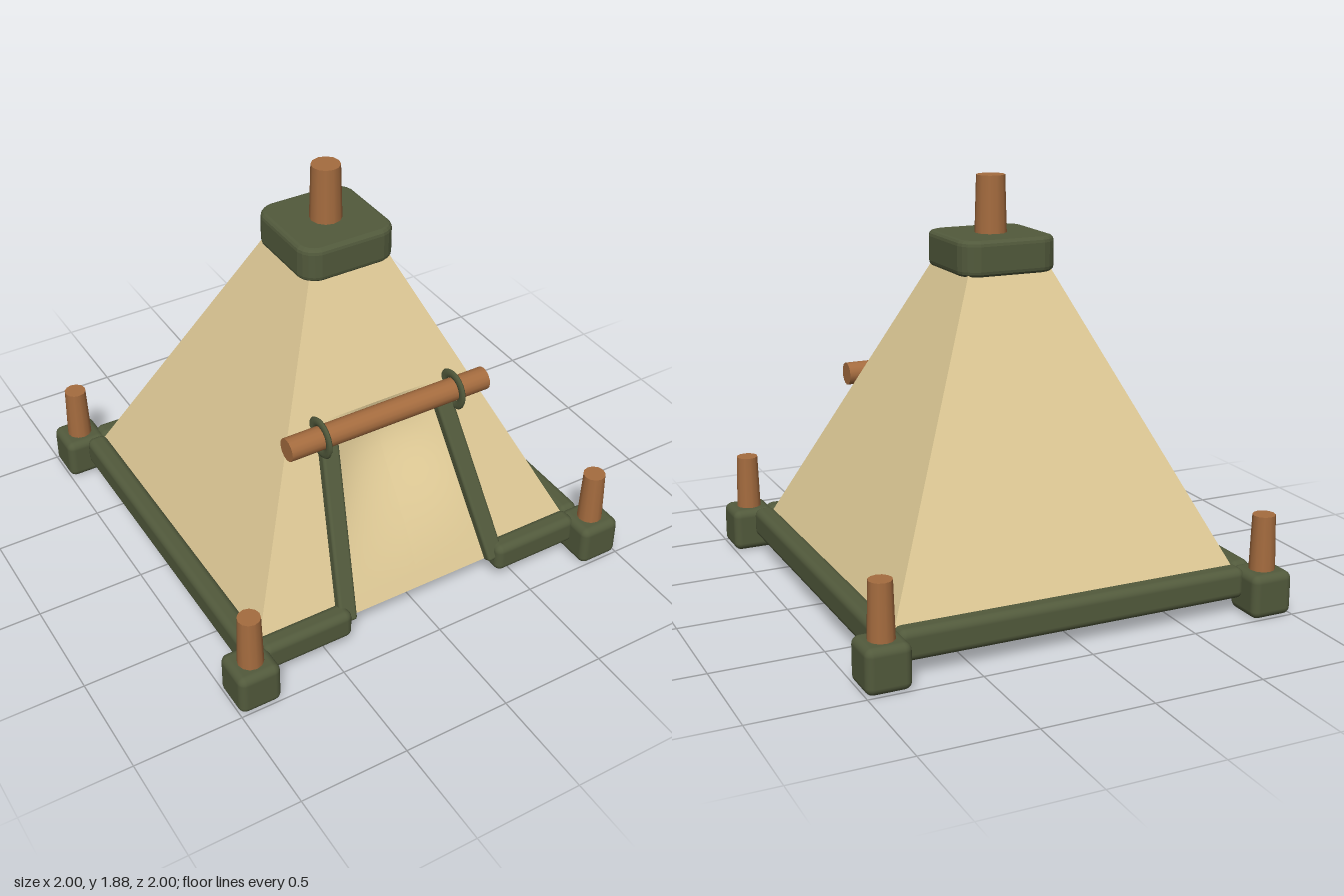
import * as THREE from 'three';
import { RoundedBoxGeometry } from 'three/addons/geometries/RoundedBoxGeometry.js';

const BASE_Y = 0.13, TOP_Y = 1.5;
const wallZ = (y) => 0.894 - 0.4685 * y; // distance of the sloping wall from the axis

export function createModel() {
  const model = new THREE.Group();
  model.name = 'tent';
  const canvas = new THREE.MeshStandardMaterial({ color: 0xdfca96, side: THREE.DoubleSide });
  canvas.name = 'tan canvas';
  const trim = new THREE.MeshStandardMaterial({ color: 0x525a3c });
  trim.name = 'green trim';
  const wood = new THREE.MeshStandardMaterial({ color: 0xa56c3f });
  wood.name = 'brown wood';

  const add = (name, geometry, material, x = 0, y = 0, z = 0) => {
    const mesh = new THREE.Mesh(geometry, material);
    mesh.name = name;
    mesh.position.set(x, y, z);
    model.add(mesh);
    return mesh;
  };
  const polygon = (pts) => new THREE.Shape(pts.map(([x, y]) => new THREE.Vector2(x, y)));
  const box = (name, w, h, d, r, x, y, z) =>
    add(name, new RoundedBoxGeometry(w, h, d, 3, r), trim, x, y, z);

  // Canvas walls: flat trapezoids leaned onto the slope, the front one with a doorway
  const b = wallZ(BASE_Y), t = wallZ(TOP_Y);
  const doorBottom = 0.2, doorTop = 0.93, doorHalfBottom = 0.37, doorHalfTop = 0.26;
  ['frontWall', 'leftWall', 'backWall', 'rightWall'].forEach((name, i) => {
    const shape = polygon([[-b, BASE_Y], [b, BASE_Y], [t, TOP_Y], [-t, TOP_Y]]);
    if (i === 0) {
      shape.holes.push(polygon([[-doorHalfBottom, doorBottom], [-doorHalfTop, doorTop],
        [doorHalfTop, doorTop], [doorHalfBottom, doorBottom]]));
    }
    const geometry = new THREE.ShapeGeometry(shape);
    const p = geometry.attributes.position;
    for (let k = 0; k < p.count; k++) p.setZ(k, wallZ(p.getY(k)));
    geometry.computeVertexNormals();
    add(name, geometry, canvas).rotation.y = i * Math.PI / 2;
  });
  add('floor', new THREE.PlaneGeometry(2 * b, 2 * b), canvas, 0, BASE_Y, 0).rotation.x = Math.PI / 2;

  // Two door flaps that sag inwards and meet in a crease
  for (const side of [-1, 1]) {
    const flap = new THREE.PlaneGeometry(1, 1, 10, 16);
    const p = flap.attributes.position;
    for (let k = 0; k < p.count; k++) {
      const across = p.getX(k) + 0.5, v = p.getY(k) + 0.5;
      const u = side > 0 ? across : 1 - across; // 0 at the crease, 1 at the door edge
      const y = THREE.MathUtils.lerp(doorBottom, doorTop, v);
      const half = THREE.MathUtils.lerp(doorHalfBottom, doorHalfTop, v);
      const sag = 0.08 * Math.sin(Math.PI * v * v) * (1 - u) * (1 + 0.9 * u);
      p.setXYZ(k, side * u * half, y, wallZ(y) - sag);
    }
    flap.computeVertexNormals();
    add(side > 0 ? 'leftDoorFlap' : 'rightDoorFlap', flap, canvas);
  }

  // Padded ground rails
  box('backRail', 1.64, 0.14, 0.1, 0.035, 0, 0.138, -0.85);
  for (const s of [-1, 1]) {
    box('sideRail', 0.1, 0.14, 1.64, 0.035, s * 0.85, 0.138, 0);
    box('frontRail', 0.44, 0.14, 0.1, 0.035, s * 0.605, 0.138, 0.845);
  }

  // Corner blocks with pegs
  for (const sx of [-1, 1]) {
    for (const sz of [-1, 1]) {
      box('cornerBlock', 0.2, 0.2, 0.2, 0.035, sx * 0.9, 0.1, sz * 0.9);
      add('cornerPeg', new THREE.CylinderGeometry(0.051, 0.06, 0.3, 12), wood, sx * 0.9, 0.3, sz * 0.9);
    }
  }

  // Cap with rounded corners, and the mast through it
  const h = 0.21, c = 0.15;
  const capShape = new THREE.Shape();
  capShape.moveTo(-c, -h);
  capShape.lineTo(c, -h);
  capShape.quadraticCurveTo(h - 0.01, -h + 0.01, h, -c);
  capShape.lineTo(h, c);
  capShape.quadraticCurveTo(h - 0.01, h - 0.01, c, h);
  capShape.lineTo(-c, h);
  capShape.quadraticCurveTo(-h + 0.01, h - 0.01, -h, c);
  capShape.lineTo(-h, -c);
  capShape.quadraticCurveTo(-h + 0.01, -h + 0.01, -c, -h);
  const cap = new THREE.ExtrudeGeometry(capShape, {
    depth: 0.11, bevelThickness: 0.025, bevelSize: 0.022, bevelSegments: 3, curveSegments: 4,
  });
  cap.rotateX(-Math.PI / 2);
  add('cap', cap, trim, 0, 1.493, 0);
  add('mast', new THREE.CylinderGeometry(0.065, 0.076, 0.38, 12), wood, 0, 1.695, 0);

  // Cross bar over the door
  const barY = 0.91, barZ = 0.53;
  add('crossBar', new THREE.CylinderGeometry(0.053, 0.053, 1.01, 16), wood, 0, barY, barZ)
    .rotation.z = Math.PI / 2;

  // Door frame straps and the rings that tie them to the bar
  for (const s of [-1, 1]) {
    const foot = new THREE.Vector3(s * 0.395, 0.13, 0.85);
    const head = new THREE.Vector3(s * 0.292, 0.88, 0.506);
    const along = head.clone().sub(foot);
    const length = along.length();
    along.normalize();
    const across = along.clone().cross(new THREE.Vector3(0, 0.4243, 0.9055)).normalize();
    const out = across.clone().cross(along);
    const strap = add('doorStrap', new RoundedBoxGeometry(0.085, length, 0.055, 2, 0.015), trim);
    strap.position.copy(foot).add(head).multiplyScalar(0.5);
    strap.quaternion.setFromRotationMatrix(new THREE.Matrix4().makeBasis(across, along, out));

    const ring = add('barRing', new THREE.TorusGeometry(0.075, 0.021, 8, 24), trim, s * 0.34, barY, barZ);
    ring.rotation.y = Math.PI / 2;
    ring.scale.z = 0.5;
  }
  return model;
}
